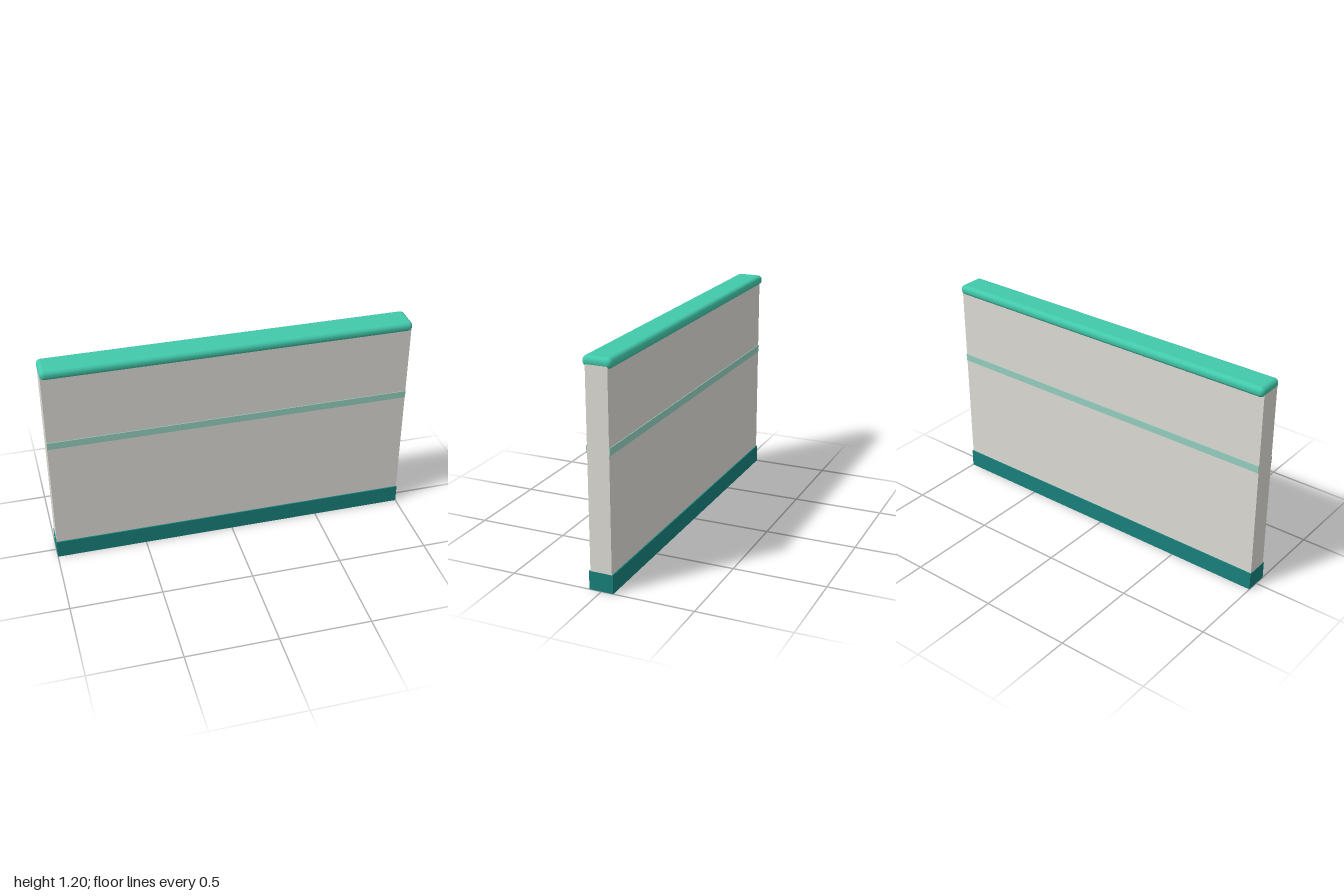
import * as THREE from 'three';
import { RoundedBoxGeometry } from 'three/addons/geometries/RoundedBoxGeometry.js';

export function createModel() {
  const group = new THREE.Group();

  const add = (name, geometry, color, y, z = 0) => {
    const mesh = new THREE.Mesh(geometry, new THREE.MeshStandardMaterial({ color }));
    mesh.name = name;
    mesh.position.set(0, y, z);
    group.add(mesh);
  };

  // Skirting along the floor
  add('base', new THREE.BoxGeometry(2, 0.1, 0.132), 0x18807b, 0.05);

  // Main wall slab, reaching into the base and the cap
  add('wallPanel', new THREE.BoxGeometry(1.996, 1.1, 0.118), 0xdddbd5, 0.61);

  // Thin accent stripe on each face
  for (const [name, side] of [['frontStripe', 1], ['backStripe', -1]]) {
    add(name, new THREE.BoxGeometry(1.996, 0.04, 0.004), 0x94cfbf, 0.74, side * 0.061);
  }

  // Rounded rail on top
  add('topCap', new RoundedBoxGeometry(2, 0.055, 0.158, 6, 0.025), 0x42c9ab, 1.1725);

  return group;
}
